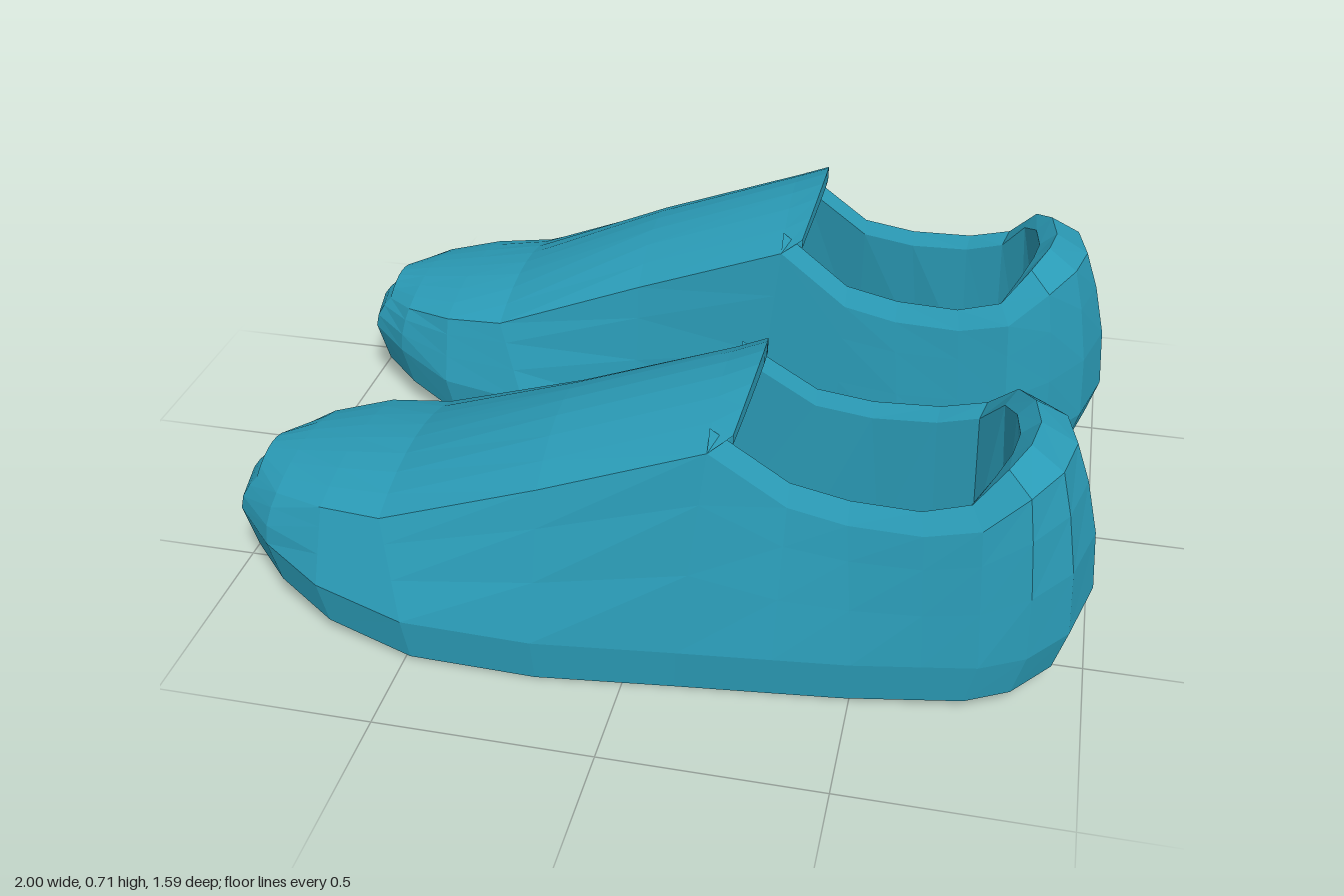
import * as THREE from 'three';

// Stations from toe to heel:
// [base x, base z inner, base z outer, sole y,  crease x, crease y, crease z inner, crease z outer]
const STATIONS = [
  [-1.0, 0.44, 0.44, 0.09, -0.955, 0.26, 0.44, 0.44],
  [-0.975, 0.32, 0.56, 0.085, -0.935, 0.265, 0.34, 0.54],
  [-0.87, 0.23, 0.66, 0.07, -0.85, 0.285, 0.26, 0.615],
  [-0.72, 0.155, 0.74, 0.035, -0.72, 0.3, 0.205, 0.665],
  [-0.5, 0.135, 0.797, 0.012, -0.57, 0.31, 0.195, 0.69],
  [-0.2, 0.185, 0.795, 0.003, -0.2, 0.44, 0.235, 0.685],
  [0.12, 0.21, 0.755, 0.0, 0.17, 0.575, 0.245, 0.665],
  [0.33, 0.19, 0.735, 0.002, 0.34, 0.455, 0.22, 0.655],
  [0.5, 0.167, 0.72, 0.005, 0.47, 0.432, 0.21, 0.66],
  [0.65, 0.167, 0.705, 0.015, 0.63, 0.432, 0.2, 0.665],
  [0.77, 0.17, 0.695, 0.025, 0.75, 0.46, 0.2, 0.66],
  [0.87, 0.22, 0.66, 0.04, 0.84, 0.535, 0.245, 0.63],
  [0.955, 0.31, 0.58, 0.06, 0.9, 0.56, 0.335, 0.555],
  [1.0, 0.44, 0.44, 0.085, 0.925, 0.56, 0.44, 0.44],
];
const LAST = STATIONS.length - 1;
const MOUTH = 6; // station where the opening begins
const MID_Z = 0.45;
// Height of the vamp's centre line at stations 0 to MOUTH
const VAMP_TOP = [0.26, 0.3, 0.318, 0.34, 0.365, 0.53, 0.675];

const material = new THREE.MeshStandardMaterial({
  color: 0x2a9ab5, flatShading: true, side: THREE.DoubleSide,
});

// Skin a grid of points; side = -1 mirrors it across z and keeps the faces outward
function loft(name, rows, side, closed = false) {
  const cols = rows[0].length;
  const pos = rows.flat().flatMap(([x, y, z]) => [x, y, z * side]);
  const index = [];
  const tri = (a, b, c) => (side > 0 ? index.push(a, b, c) : index.push(a, c, b));
  for (let j = 0; j < rows.length - 1; j++) {
    for (let i = 0; i < (closed ? cols : cols - 1); i++) {
      const k = (i + 1) % cols;
      const a = j * cols + i, b = j * cols + k, c = a + cols, d = b + cols;
      tri(a, c, b);
      tri(b, c, d);
    }
  }
  const geo = new THREE.BufferGeometry();
  geo.setAttribute('position', new THREE.Float32BufferAttribute(pos, 3));
  geo.setIndex(index);
  geo.computeVertexNormals();
  const mesh = new THREE.Mesh(geo, material);
  mesh.name = name;
  return mesh;
}

// Walk along the inner side to the heel and back along the outer side
function ring(first, fn) {
  const pts = [];
  for (let i = first; i <= LAST; i++) pts.push(fn(STATIONS[i], 1, i));
  for (let i = LAST - 1; i >= Math.max(first, 1); i--) pts.push(fn(STATIONS[i], 2, i));
  return pts;
}

// Move a point inwards, towards the spine of the shoe
function inset([x, y, z], d, dy = 0) {
  const sx = Math.min(Math.max(x, -0.6), 0.55);
  const len = Math.hypot(sx - x, MID_Z - z) || 1;
  return [x + ((sx - x) / len) * d, y + dy, z + ((MID_Z - z) / len) * d];
}

const lerp = THREE.MathUtils.lerp;
const base = (s, k) => [s[0], s[3] + 0.1, s[k]];
const crease = (s, k) => [s[4], s[5], s[5 + k]];
const solePoint = (s, k) => [s[0] * 0.97, s[3], lerp(s[k], MID_Z, 0.015)];
const heelward = (s) => Math.max(0, (s[4] - 0.7) / 0.22);

// A line of points arched between the outer and inner edges
function arch(x, edgeY, topY, zIn, zOut, edgeX = x, n = 8) {
  return Array.from({ length: n + 1 }, (_, i) => {
    const t = (i / n) * 2 - 1, rise = 1 - t * t;
    return [lerp(edgeX, x, rise), lerp(edgeY, topY, rise), lerp(zOut, zIn, i / n)];
  });
}

function makeShoe(side) {
  const shoe = new THREE.Group();

  // Side walls, bulging more around the toe and heel
  const between = (h) => (s, k, i) => {
    const a = base(s, k), b = crease(s, k);
    const end = i < 3 || i > 10;
    const w = end ? h * h : h;
    return [lerp(a[0], b[0], w), lerp(a[1], b[1], h), lerp(a[2], b[2], w)];
  };
  const wallRows = [solePoint, base, between(0.4), between(0.75), crease].map((f) => ring(0, f));
  shoe.add(loft('sideWall', wallRows, side, true));

  // Flat sole, slightly rising at toe and heel
  shoe.add(loft('sole', STATIONS.map((s) => [solePoint(s, 1), solePoint(s, 2)]), side));

  // Vamp over the forefoot, ending in a thick tongue lip
  const vampRows = VAMP_TOP.map((top, i) => {
    const s = STATIONS[i];
    return arch(s[4], s[5], top, s[6], s[7]);
  });
  vampRows.push(
    arch(0.25, 0.61, 0.71, 0.26, 0.64, 0.22),
    arch(0.25, 0.585, 0.675, 0.27, 0.63, 0.22),
    arch(0.19, 0.55, 0.645, 0.27, 0.63),
    arch(-0.2, 0.41, 0.5, 0.26, 0.66),
  );
  shoe.add(loft('vampAndTongue', vampRows, side));

  // Padded collar rim
  const rim = (s, k) => inset(crease(s, k), 0.028 + 0.052 * heelward(s), 0.045);
  const lip = (s, k) => inset(crease(s, k), 0.045 + 0.075 * heelward(s), 0.01);
  shoe.add(loft('collar', [crease, rim, lip].map((f) => ring(MOUTH, f)), side));

  // Lining and insole
  const floorPoint = (s, k) => inset([s[0], 0.1, s[k]], 0.07 + 0.04 * heelward(s));
  const liningTop = (s, k, i) => (i < MOUTH ? inset(crease(s, k), 0.03, -0.02) : lip(s, k));
  shoe.add(loft('lining', [liningTop, floorPoint].map((f) => ring(4, f)), side));
  const insoleRows = STATIONS.slice(3).map((s) => [floorPoint(s, 2), floorPoint(s, 1)]);
  shoe.add(loft('insole', insoleRows, side));

  return shoe;
}

export function createModel() {
  const group = new THREE.Group();
  group.name = 'pairOfShoes';
  for (const [name, side] of [['frontShoe', 1], ['backShoe', -1]]) {
    const shoe = makeShoe(side);
    shoe.name = name;
    group.add(shoe);
  }
  return group;
}
